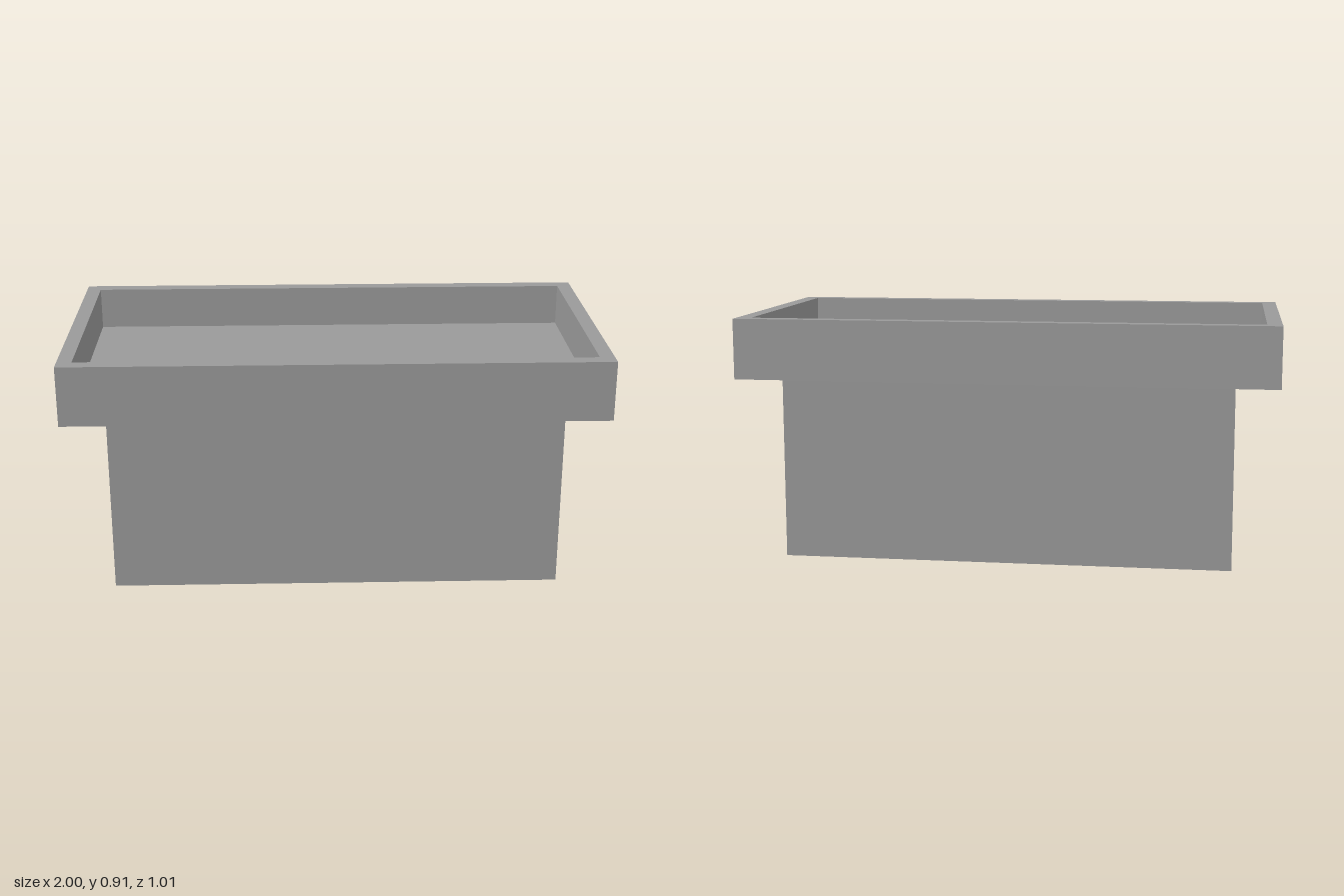
import * as THREE from 'three';

// Half sizes and heights
const BODY = { x: 0.84, z: 0.425 };
const OUTER = { x: 1, z: 0.505 };
const INNER = { x: 0.945, z: 0.452 };
const RIM_BOTTOM = 0.685, FLOOR = 0.75, TOP = 0.91;

function rectangle(target, { x, z }) {
  target.moveTo(-x, -z);
  target.lineTo(x, -z);
  target.lineTo(x, z);
  target.lineTo(-x, z);
  target.closePath();
  return target;
}

export function createModel() {
  const group = new THREE.Group();
  group.name = 'planterBox';
  const grey = new THREE.MeshStandardMaterial({ color: 0x999999 });
  grey.name = 'grey';

  const add = (name, geometry, y) => {
    const mesh = new THREE.Mesh(geometry, grey);
    mesh.name = name;
    mesh.position.y = y;
    group.add(mesh);
  };

  // Lower block
  add('body', new THREE.BoxGeometry(BODY.x * 2, RIM_BOTTOM, BODY.z * 2), RIM_BOTTOM / 2);

  // Overhanging hollow rim
  const outline = rectangle(new THREE.Shape(), OUTER);
  outline.holes.push(rectangle(new THREE.Path(), INNER));
  const rim = new THREE.ExtrudeGeometry(outline, { depth: TOP - RIM_BOTTOM, bevelEnabled: false });
  rim.rotateX(-Math.PI / 2);
  add('rim', rim, RIM_BOTTOM);

  // Sunken floor inside the rim
  add('floor', new THREE.BoxGeometry(INNER.x * 2, FLOOR - RIM_BOTTOM, INNER.z * 2), (FLOOR + RIM_BOTTOM) / 2);

  return group;
}
